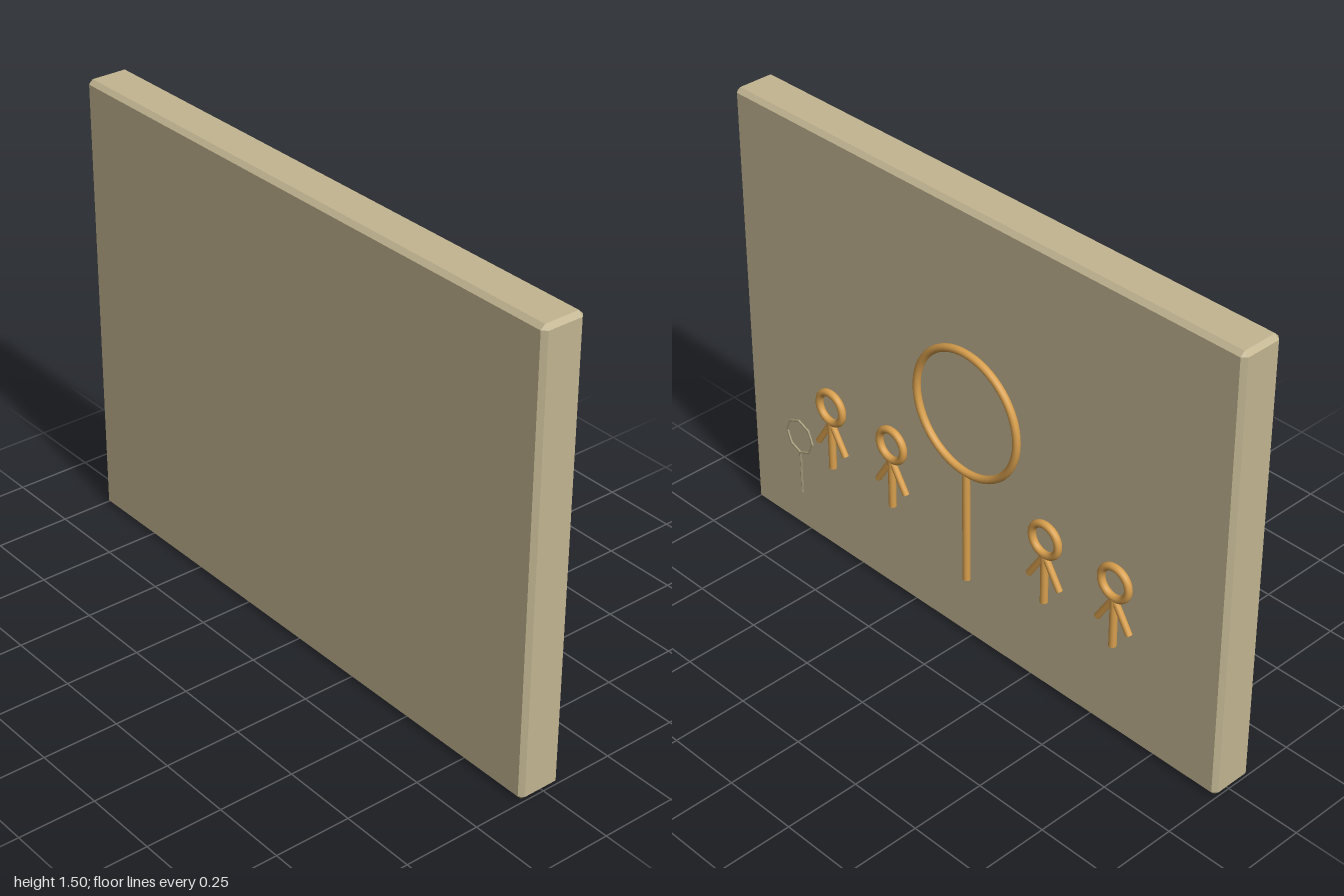
import * as THREE from 'three';
import { ConvexGeometry } from 'three/addons/geometries/ConvexGeometry.js';

const boardMat = new THREE.MeshStandardMaterial({ color: 0xc2b591 });
const goldMat = new THREE.MeshStandardMaterial({ color: 0xd9a04e });
const thinMat = new THREE.MeshStandardMaterial({ color: 0xa89c7c, flatShading: true });

// Box with every edge chamfered: each corner becomes a small triangle
function chamferBox(w, h, d, c) {
  const pts = [];
  for (const x of [-1, 1]) for (const y of [-1, 1]) for (const z of [-1, 1]) {
    for (let k = 0; k < 3; k++) {
      const inset = [c, c, c];
      inset[k] = 0;
      pts.push(new THREE.Vector3(x * (w / 2 - inset[0]), y * (h / 2 - inset[1]), z * (d / 2 - inset[2])));
    }
  }
  return new ConvexGeometry(pts);
}

function add(group, name, geometry, material) {
  const mesh = new THREE.Mesh(geometry, material);
  mesh.name = name;
  group.add(mesh);
  return mesh;
}

// Round bar between two points of the back face
function bar(group, name, x0, y0, x1, y1, r, material, sides) {
  const a = new THREE.Vector3(x0, y0, 0), b = new THREE.Vector3(x1, y1, 0);
  const dir = b.clone().sub(a);
  const mesh = add(group, name, new THREE.CylinderGeometry(r, r, dir.length(), sides), material);
  mesh.position.copy(a).add(b).multiplyScalar(0.5);
  mesh.quaternion.setFromUnitVectors(new THREE.Vector3(0, 1, 0), dir.normalize());
}

// Ring on a stem, hung from the ring centre, optionally with two slanting arms
function ringFigure(name, { radius, tube, stem, arms, material, tubeSides = 12, ringSides = 48 }) {
  const g = new THREE.Group();
  g.name = name;
  add(g, 'ring', new THREE.TorusGeometry(radius, tube, tubeSides, ringSides), material);
  bar(g, 'stem', 0, -radius, 0, -stem, tube, material, tubeSides);
  if (arms) for (const s of [-1, 1]) {
    bar(g, s > 0 ? 'leftArm' : 'rightArm', s * 0.004, -radius - 0.008, s * 0.062, -0.153, tube * 0.85, material, tubeSides);
  }
  return g;
}

export function createModel() {
  const model = new THREE.Group();
  model.name = 'reliefPanel';

  // Panel
  const board = add(model, 'board', chamferBox(2, 1.5, 0.145, 0.014), boardMat);
  board.position.set(0, 0.75, 0.0125);

  // Large central ring on a long stem
  const big = ringFigure('centralRing', { radius: 0.207, tube: 0.0125, stem: 0.6, material: goldMat, ringSides: 64 });
  big.position.set(0, 0.83, -0.0725);
  model.add(big);

  // Two pairs of small figures
  for (const x of [-0.6, -0.325, 0.325, 0.6]) {
    const figure = ringFigure('smallFigure', { radius: 0.0525, tube: 0.0125, stem: 0.225, arms: true, material: goldMat });
    figure.position.set(x, 0.555, -0.0725);
    model.add(figure);
  }

  // Thin eight-sided ring and stem, nearly flush with the panel
  const thin = ringFigure('thinRing', {
    radius: 0.06, tube: 0.005, stem: 0.215, material: thinMat, tubeSides: 6, ringSides: 8,
  });
  thin.position.set(0.77, 0.355, -0.06);
  model.add(thin);

  return model;
}
